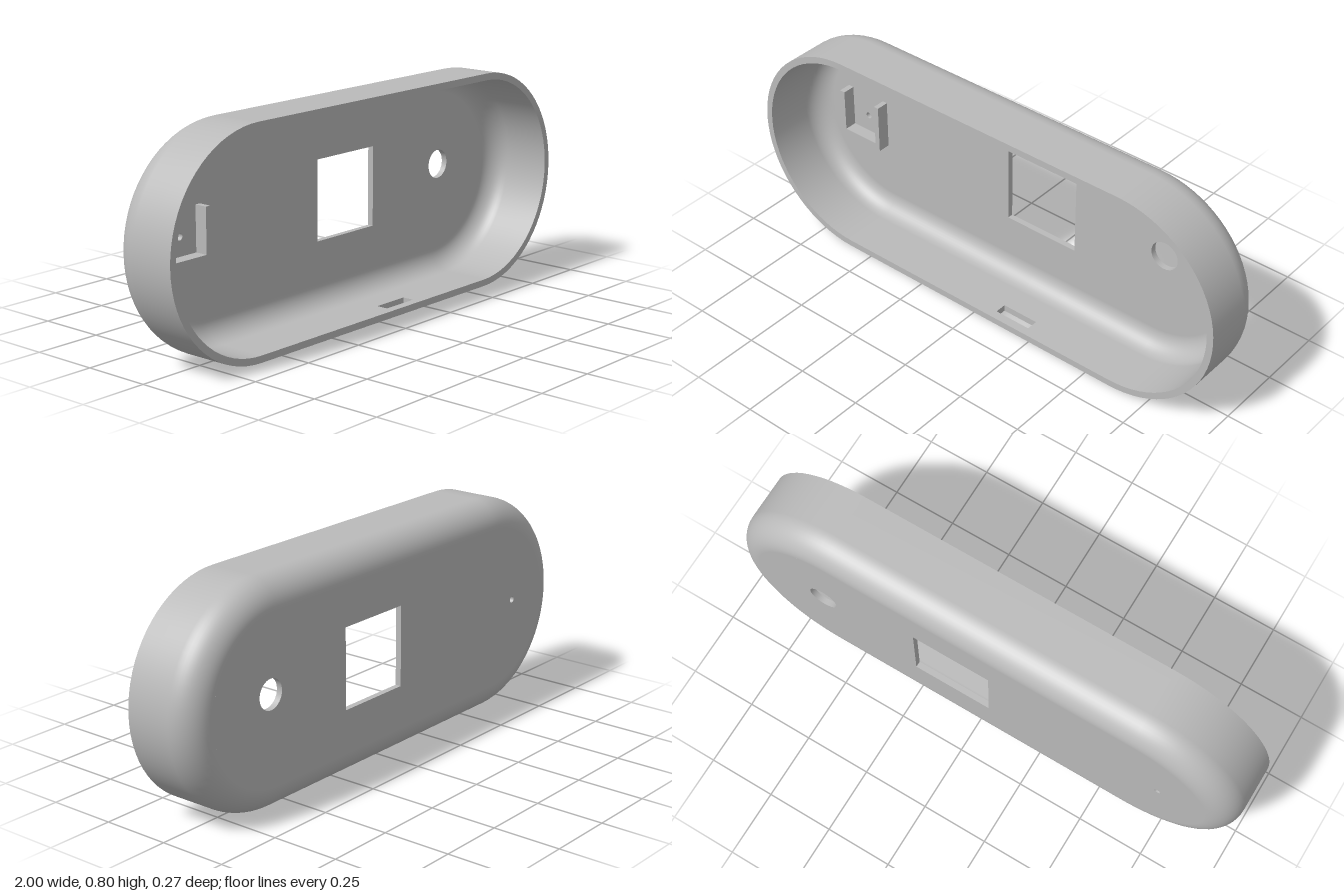
import * as THREE from 'three';

const CY = 0.4, HALF = 0.6;          // stadium centre height and half straight length
const BACK = -0.135, FRONT = 0.135;  // depth limits
const R = 0.4, WALL = 0.025, FLOOR = 0.022, FILLET = 0.1;
const SLOT = { x0: 0.078, x1: 0.222, z0: 0.058, z1: 0.102 };

// Stations round the stadium: arc centre x and outward angle
function stadiumStations(n = 36) {
  const s = [];
  for (let i = 0; i <= n; i++) s.push([HALF, -Math.PI / 2 + Math.PI * i / n]);
  for (let i = 0; i <= n; i++) s.push([-HALF, Math.PI / 2 + Math.PI * i / n]);
  for (const x of [SLOT.x0, SLOT.x1, HALF]) s.push([x, Math.PI * 1.5]);
  return s;
}

// Sweep a profile of [radius, z, radial normal, z normal] round the stadium,
// leaving the slot open in the lower straight
function sweep(profile) {
  const st = stadiumStations(), pos = [], nor = [], idx = [], m = profile.length;
  for (const [cx, a] of st) {
    for (const [r, z, nr, nz] of profile) {
      pos.push(cx + r * Math.cos(a), CY + r * Math.sin(a), z);
      nor.push(nr * Math.cos(a), nr * Math.sin(a), nz);
    }
  }
  for (let i = 0; i < st.length - 1; i++) {
    for (let j = 0; j < m - 1; j++) {
      const mid = (profile[j][1] + profile[j + 1][1]) / 2;
      const inSlot = i === st.length - 3 && mid > SLOT.z0 && mid < SLOT.z1 && profile[j][0] === profile[j + 1][0];
      if (inSlot) continue;
      const a = i * m + j, b = a + m;
      idx.push(a, b, b + 1, a, b + 1, a + 1);
    }
  }
  const g = new THREE.BufferGeometry();
  g.setAttribute('position', new THREE.Float32BufferAttribute(pos, 3));
  g.setAttribute('normal', new THREE.Float32BufferAttribute(nor, 3));
  g.setIndex(idx);
  return g;
}

// Rounded back edge followed by the straight wall; sign -1 turns it inside out
function wallProfile(radius, fillet, zBack, sign) {
  const p = [], n = 12;
  for (let i = 0; i <= n; i++) {
    const a = Math.PI / 2 * i / n, s = Math.sin(a), c = Math.cos(a);
    p.push([i === n ? radius : radius - fillet + fillet * s, zBack + fillet - fillet * c, sign * s, -sign * c]);
  }
  for (const z of [SLOT.z0, SLOT.z1, FRONT]) p.push([radius, z, sign, 0]);
  return sign > 0 ? p : p.reverse();
}

function rectPath(x0, y0, x1, y1) {
  return new THREE.Path([[x0, y0], [x0, y1], [x1, y1], [x1, y0]].map(([x, y]) => new THREE.Vector2(x, y)));
}

function circlePath(x, y, r) {
  return new THREE.Path().absarc(x, y, r, 0, Math.PI * 2, true);
}

export function createModel() {
  const group = new THREE.Group();
  const grey = new THREE.MeshStandardMaterial({ color: 0xbababa });
  const add = (name, geometry) => {
    const mesh = new THREE.Mesh(geometry, grey);
    mesh.name = name;
    group.add(mesh);
    return mesh;
  };

  // Shell walls and the flat rim joining them
  const inner = R - WALL;
  add('outerWall', sweep(wallProfile(R, FILLET, BACK, 1)));
  add('rim', sweep([[R, FRONT, 0, 1], [inner, FRONT, 0, 1]]));
  add('innerWall', sweep(wallProfile(inner, FILLET - WALL, BACK + FLOOR, -1)));

  // Back plate with the window, round hole and pinhole
  const r = R - FILLET;
  const plate = new THREE.Shape();
  plate.absarc(HALF, CY, r, -Math.PI / 2, Math.PI / 2, false);
  plate.absarc(-HALF, CY, r, Math.PI / 2, Math.PI * 1.5, false);
  plate.holes.push(
    rectPath(-0.047, 0.257, 0.253, 0.552),
    circlePath(0.63, 0.425, 0.054),
    circlePath(-0.718, 0.405, 0.012)
  );
  add('backPlate', new THREE.ExtrudeGeometry(plate, { depth: FLOOR, bevelEnabled: false, curveSegments: 36 }))
    .position.z = BACK;

  // Lining of the slot through the lower wall
  const c = [[SLOT.x0, SLOT.z0], [SLOT.x1, SLOT.z0], [SLOT.x1, SLOT.z1], [SLOT.x0, SLOT.z1]];
  const lining = [];
  c.forEach(([xa, za], i) => {
    const [xb, zb] = c[(i + 1) % 4];
    lining.push(xa, 0, za, xb, 0, zb, xb, WALL, zb, xa, 0, za, xb, WALL, zb, xa, WALL, za);
  });
  const liningGeometry = new THREE.BufferGeometry();
  liningGeometry.setAttribute('position', new THREE.Float32BufferAttribute(lining, 3));
  liningGeometry.computeVertexNormals();
  add('slotLining', liningGeometry);

  // U-shaped bracket standing on the back plate
  const u = [[-0.814, 0.312], [-0.624, 0.312], [-0.624, 0.5], [-0.644, 0.5],
    [-0.644, 0.338], [-0.792, 0.338], [-0.792, 0.5], [-0.814, 0.5]];
  const bracket = new THREE.Shape(u.map(([x, y]) => new THREE.Vector2(x, y)));
  add('bracket', new THREE.ExtrudeGeometry(bracket, { depth: 0.05, bevelEnabled: false }))
    .position.z = BACK + FLOOR - 0.002;

  return group;
}
